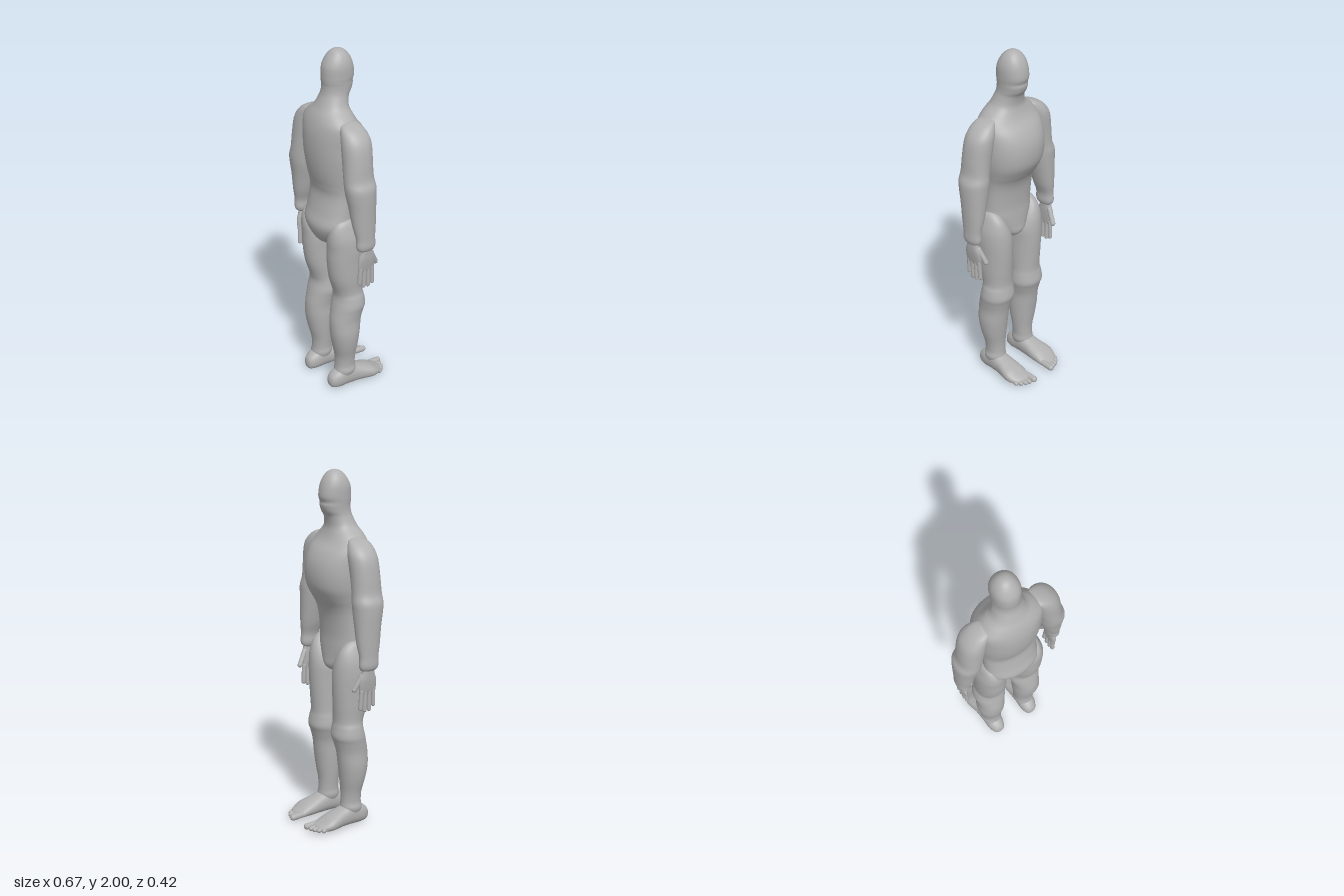
import * as THREE from 'three';

const skin = new THREE.MeshStandardMaterial({ color: 0xb0b0b0 });
skin.name = 'grey skin';

// Smooth interpolation through four neighbouring values
function spline(a, b, c, d, t) {
  return b + 0.5 * t * (c - a + t * (2 * a - 5 * b + 4 * c - d + t * (3 * (b - c) + d - a)));
}

// Skin a row of oval sections [position, min u, max u, min v, max v].
// axis 'y': u = x, v = z, rising. axis 'z': u = x, v = y, heel to toe.
function loft(name, rows, { axis = 'y', side = 1, power = 2, steps = 5, segs = 40 } = {}) {
  const pos = [], index = [];
  const row = i => rows[Math.min(rows.length - 1, Math.max(0, i))];
  const count = (rows.length - 1) * steps;
  for (let i = 0; i <= count; i++) {
    const k = Math.min(Math.floor(i / steps), rows.length - 2), t = i / steps - k;
    const [p, u0, u1, v0, v1] = row(k).map((_, n) =>
      spline(row(k - 1)[n], row(k)[n], row(k + 1)[n], row(k + 2)[n], t));
    for (let j = 0; j < segs; j++) {
      const a = j / segs * Math.PI * 2, c = Math.cos(a), s = Math.sin(a);
      const u = (u0 + u1) / 2 + (u1 - u0) / 2 * Math.sign(c) * Math.abs(c) ** (2 / power);
      const v = (v0 + v1) / 2 + (v1 - v0) / 2 * Math.sign(s) * Math.abs(s) ** (2 / power);
      if (axis === 'y') pos.push(u * side, p, v);
      else pos.push(u * side, v, p);
      if (i < count) {
        const A = i * segs + j, B = i * segs + (j + 1) % segs, C = A + segs, D = B + segs;
        if (side > 0) index.push(A, C, B, B, C, D);
        else index.push(A, B, C, B, D, C);
      }
    }
  }
  const geo = new THREE.BufferGeometry();
  geo.setAttribute('position', new THREE.Float32BufferAttribute(pos, 3));
  geo.setIndex(index);
  geo.computeVertexNormals();
  const mesh = new THREE.Mesh(geo, skin);
  mesh.name = name;
  return mesh;
}

// Round-ended digit between two points
function digit(name, side, from, to, radius) {
  const a = new THREE.Vector3(from[0] * side, from[1], from[2]);
  const b = new THREE.Vector3(to[0] * side, to[1], to[2]);
  const dir = b.clone().sub(a);
  const mesh = new THREE.Mesh(new THREE.CapsuleGeometry(radius, dir.length(), 8, 14), skin);
  mesh.position.copy(a).add(b).multiplyScalar(0.5);
  mesh.quaternion.setFromUnitVectors(new THREE.Vector3(0, 1, 0), dir.normalize());
  mesh.name = name;
  return mesh;
}

// Trunk, neck and head: [y, half width, front z, back z]
const trunk = [
  [0.885, 0, 0.07, 0.07], [0.89, 0.04, 0.02, 0.12], [0.92, 0.075, -0.015, 0.165],
  [0.97, 0.125, -0.015, 0.195], [1.03, 0.16, -0.012, 0.208], [1.1, 0.157, -0.01, 0.188],
  [1.2, 0.155, -0.02, 0.167], [1.26, 0.16, -0.038, 0.175], [1.31, 0.17, -0.068, 0.188],
  [1.37, 0.182, -0.1, 0.2], [1.44, 0.19, -0.11, 0.208], [1.51, 0.192, -0.102, 0.21],
  [1.57, 0.192, -0.075, 0.206], [1.62, 0.182, -0.035, 0.195], [1.66, 0.145, -0.015, 0.18],
  [1.7, 0.1, -0.006, 0.158], [1.75, 0.078, -0.015, 0.135], [1.78, 0.073, -0.034, 0.127],
  [1.81, 0.073, -0.044, 0.125], [1.83, 0.074, -0.043, 0.127], [1.86, 0.076, -0.052, 0.128],
  [1.91, 0.075, -0.045, 0.124], [1.95, 0.064, -0.03, 0.106], [1.98, 0.044, -0.008, 0.082],
  [1.995, 0.022, 0.014, 0.06], [2, 0, 0.037, 0.037],
].map(([y, w, f, b]) => [y, -w, w, f, b]);

const leg = [
  [0.05, 0.08, 0.155, 0.03, 0.13], [0.1, 0.058, 0.176, 0.012, 0.135], [0.14, 0.06, 0.17, 0.015, 0.13],
  [0.2, 0.055, 0.176, 0.015, 0.132], [0.28, 0.047, 0.195, 0.005, 0.15], [0.36, 0.042, 0.205, -0.005, 0.163],
  [0.44, 0.04, 0.202, -0.015, 0.163], [0.5, 0.028, 0.208, -0.03, 0.152], [0.54, 0.02, 0.213, -0.042, 0.143],
  [0.59, 0.025, 0.205, -0.035, 0.132], [0.63, 0.03, 0.195, -0.03, 0.137], [0.72, 0.03, 0.201, -0.035, 0.165],
  [0.82, 0.03, 0.205, -0.04, 0.178], [0.9, 0.03, 0.208, -0.04, 0.18], [0.97, 0.05, 0.204, -0.032, 0.182],
  [1.03, 0.085, 0.188, -0.01, 0.17], [1.07, 0.11, 0.17, 0.03, 0.14], [1.09, 0.14, 0.14, 0.08, 0.08],
];

const foot = [
  [0.183, 0.115, 0.115, 0.045, 0.045], [0.172, 0.085, 0.145, 0.01, 0.08], [0.13, 0.068, 0.165, 0, 0.11],
  [0.07, 0.065, 0.17, 0, 0.13], [0, 0.06, 0.176, 0, 0.108], [-0.05, 0.055, 0.188, 0, 0.09],
  [-0.09, 0.055, 0.192, 0, 0.075], [-0.13, 0.057, 0.178, 0.003, 0.052], [-0.158, 0.063, 0.15, 0.01, 0.038],
  [-0.17, 0.1, 0.1, 0.022, 0.022],
];

const arm = [
  [0.945, 0.29, 0.29, 0.06, 0.06], [0.955, 0.268, 0.316, 0.02, 0.105], [0.98, 0.258, 0.328, 0.006, 0.121],
  [1.03, 0.256, 0.328, 0.008, 0.121], [1.1, 0.232, 0.33, 0, 0.134], [1.2, 0.207, 0.333, -0.005, 0.146],
  [1.27, 0.191, 0.335, -0.008, 0.158], [1.32, 0.185, 0.332, -0.01, 0.164], [1.37, 0.18, 0.313, -0.005, 0.163],
  [1.45, 0.165, 0.305, -0.005, 0.16], [1.53, 0.15, 0.293, -0.008, 0.157], [1.58, 0.14, 0.273, -0.005, 0.151],
  [1.62, 0.13, 0.235, 0.01, 0.14], [1.643, 0.13, 0.19, 0.03, 0.12], [1.653, 0.15, 0.15, 0.07, 0.07],
];

const palm = [
  [0.815, 0.289, 0.289, 0.06, 0.06], [0.822, 0.281, 0.297, 0.015, 0.102], [0.85, 0.277, 0.304, 0.006, 0.111],
  [0.9, 0.274, 0.312, 0.006, 0.11], [0.94, 0.274, 0.314, 0.02, 0.098], [0.98, 0.275, 0.315, 0.03, 0.09],
];

// Fingertips [z, y] and toe tips [x, z, radius]
const fingers = [[0.016, 0.742], [0.043, 0.73], [0.071, 0.732], [0.099, 0.755]];
const toes = [[0.073, -0.193, 0.018], [0.103, -0.185, 0.013], [0.127, -0.177, 0.013],
  [0.149, -0.162, 0.013], [0.167, -0.142, 0.012]];

export function createModel() {
  const model = new THREE.Group();
  model.name = 'figure';
  model.add(loft('trunkAndHead', trunk, { power: 2.15, segs: 56 }));

  for (const side of [1, -1]) {
    const prefix = side > 0 ? 'left' : 'right';

    // Arm with hand
    const armGroup = new THREE.Group();
    armGroup.name = prefix + 'Arm';
    armGroup.add(loft('armMuscle', arm, { side, power: 2.15 }));
    armGroup.add(loft('palm', palm, { side, power: 2.4 }));
    for (const [z, y] of fingers) {
      armGroup.add(digit('finger', side, [0.29, 0.84, 0.058 + (z - 0.058) * 0.9], [0.287, y, z], 0.012));
    }
    armGroup.add(digit('thumb', side, [0.288, 0.925, 0.024], [0.274, 0.85, -0.016], 0.014));

    // Leg with foot
    const legGroup = new THREE.Group();
    legGroup.name = prefix + 'Leg';
    legGroup.add(loft('legMuscle', leg, { side, power: 2.1 }));
    legGroup.add(loft('foot', foot, { axis: 'z', side, power: 2.3 }));
    for (const [x, z, r] of toes) {
      legGroup.add(digit('toe', side, [0.12 + (x - 0.12) * 0.95, 0.03, -0.1], [x, r + 0.006, z], r));
    }
    model.add(armGroup, legGroup);
  }
  return model;
}
